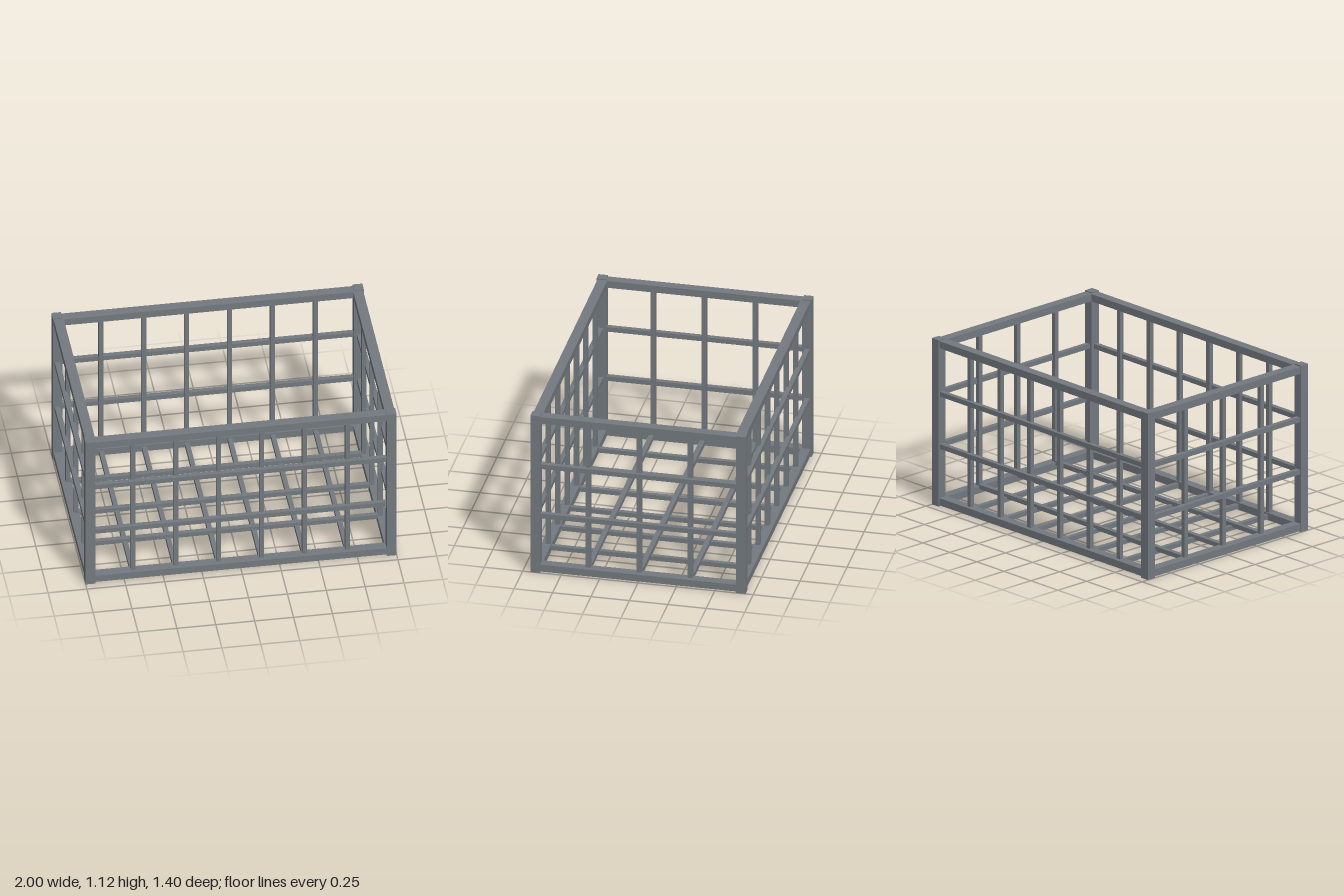
import * as THREE from 'three';

export function createModel() {
  const model = new THREE.Group();
  model.name = 'openCrateFrame';
  const steel = new THREE.MeshStandardMaterial({ color: 0x747a80 });
  steel.name = 'greySteel';

  const group = (name) => {
    const g = new THREE.Group();
    g.name = name;
    model.add(g);
    return g;
  };
  const bar = (parent, name, size, pos) => {
    const mesh = new THREE.Mesh(new THREE.BoxGeometry(...size), steel);
    mesh.name = name;
    mesh.position.set(...pos);
    parent.add(mesh);
  };

  const T = 0.032;                       // thickness of the thin bars
  const sides = [-1, 1];
  const columnsX = [-0.69, -0.414, -0.138, 0.138, 0.414, 0.69];
  const columnsZ = [-0.332, 0, 0.332];
  const rows = [0.402, 0.754];

  // Corner posts
  const posts = group('cornerPosts');
  for (const x of sides) for (const z of sides)
    bar(posts, 'cornerPost', [0.062, 1.12, 0.062], [x * 0.969, 0.56, z * 0.669]);

  // Heavy rails around the bottom and the rim
  const rails = group('rails');
  for (const [name, y] of [['bottomRail', 0.032], ['topRail', 1.089]])
    for (const s of sides) {
      bar(rails, name, [1.88, 0.048, 0.064], [0, y, s * 0.661]);
      bar(rails, name, [0.064, 0.048, 1.28], [s * 0.963, y, 0]);
    }

  // Wall grids: level bars outside, upright bars behind them
  const walls = group('wallGrids');
  for (const s of sides) {
    for (const y of rows) {
      bar(walls, 'longWallBar', [1.88, T, T], [0, y, s * 0.672]);
      bar(walls, 'endWallBar', [T, T, 1.28], [s * 0.972, y, 0]);
    }
    for (const x of columnsX)
      bar(walls, 'longWallUpright', [0.03, 1.04, 0.03], [x, 0.56, s * 0.652]);
    for (const z of columnsZ)
      bar(walls, 'endWallUpright', [0.03, 1.04, 0.03], [s * 0.952, 0.56, z]);
  }

  // Floor grid: long bars resting on cross bars
  const floor = group('floorGrid');
  for (const z of columnsZ) bar(floor, 'floorLongBar', [1.88, 0.03, T], [0, 0.05, z]);
  for (const x of columnsX) bar(floor, 'floorCrossBar', [0.03, 0.03, 1.28], [x, 0.03, 0]);

  return model;
}
